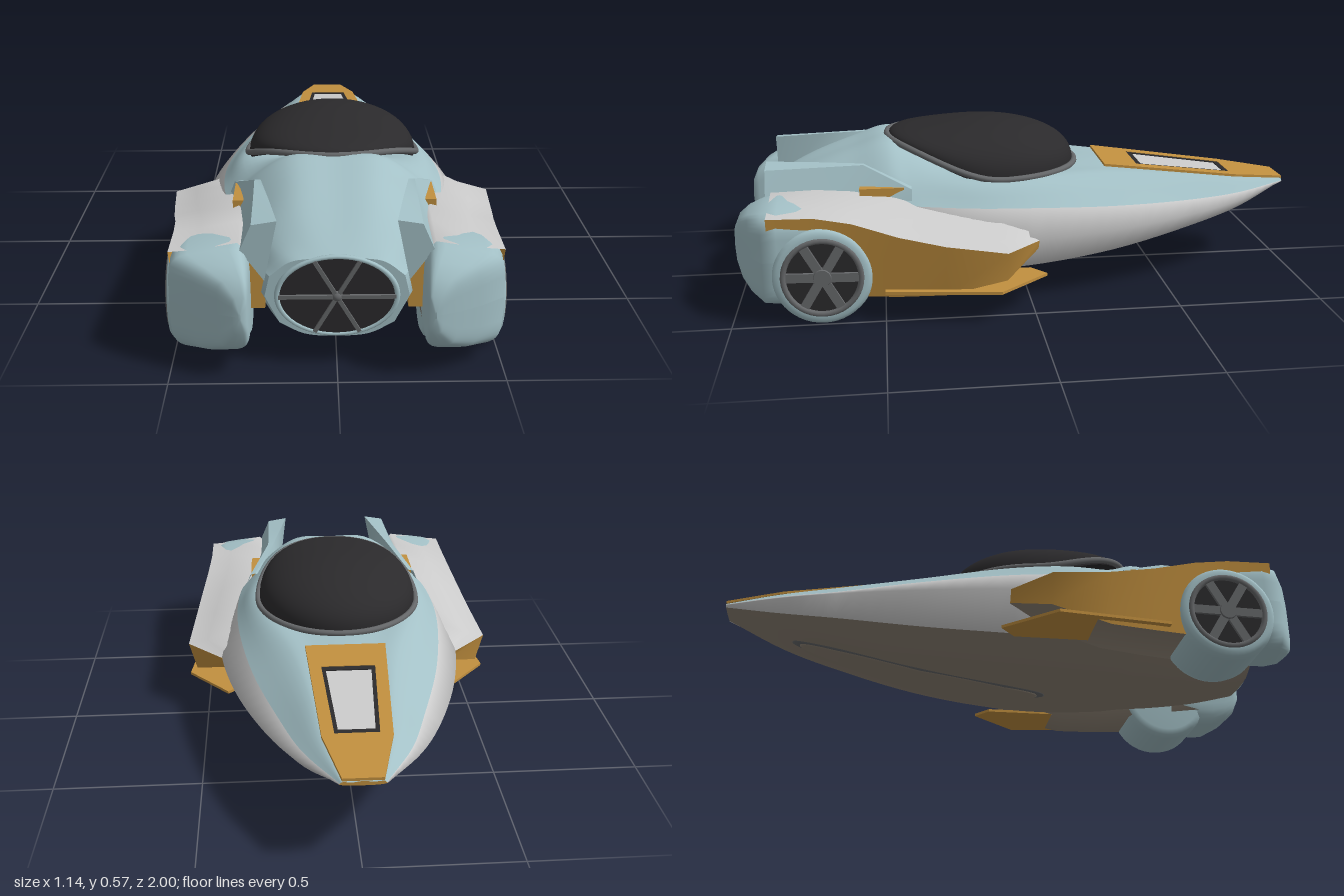
import * as THREE from 'three';

const V = (x, y, z) => new THREE.Vector3(x, y, z);
const paint = (color) => new THREE.MeshStandardMaterial({ color, side: THREE.DoubleSide });
const lerp = THREE.MathUtils.lerp;

// Spline-smooth a grid of points: n steps along the rows, m steps across each row
function refine(rows, n, m) {
  const cols = rows[0].map((_, j) => new THREE.CatmullRomCurve3(rows.map((r) => r[j])).getPoints(n));
  return cols[0].map((_, i) => {
    const row = cols.map((c) => c[i]);
    return m ? new THREE.CatmullRomCurve3(row).getPoints(m) : row;
  });
}

// Skin over rows of points (rows run along +z, points run counter-clockwise seen from +z)
function skin(rows) {
  const w = rows[0].length, idx = [];
  for (let i = 0; i < rows.length - 1; i++)
    for (let j = 0; j < w - 1; j++) {
      const a = i * w + j, b = a + w;
      idx.push(a, a + 1, b, a + 1, b + 1, b);
    }
  const g = new THREE.BufferGeometry().setFromPoints(rows.flat());
  g.setIndex(idx);
  g.computeVertexNormals();
  return g;
}
const flip = (rows) => rows.map((r) => r.map((p) => V(-p.x, p.y, p.z)).reverse());
const deckY = (z) => 0.31 + 0.105 * (z + 1) / 0.8;
const rimY = (z) => 0.41 + 0.11 * THREE.MathUtils.smoothstep(z, 0.08, 0.5);

// Hull stations: z, half width, bottom y, chine y, edge x, edge y, shoulder x, shoulder y, top y
const HULL = [
  [-1, 0.07, 0.295, 0.3, 0.068, 0.303, 0.062, 0.308, 0.31],
  [-0.8, 0.2, 0.215, 0.275, 0.17, 0.295, 0.11, 0.334, 0.336],
  [-0.6, 0.29, 0.16, 0.26, 0.235, 0.295, 0.135, 0.36, 0.363],
  [-0.3, 0.385, 0.09, 0.245, 0.32, 0.31, 0.19, 0.39, 0.4],
  [0, 0.44, 0.05, 0.24, 0.37, 0.33, 0.28, 0.405, 0.41],
  [0.2, 0.44, 0.04, 0.24, 0.38, 0.34, 0.31, 0.41, 0.42],
  [0.4, 0.4, 0.045, 0.23, 0.36, 0.35, 0.28, 0.42, 0.495],
  [0.48, 0.36, 0.05, 0.23, 0.33, 0.35, 0.26, 0.44, 0.52],
  [0.6, 0.32, 0.055, 0.23, 0.3, 0.34, 0.24, 0.41, 0.485],
  [0.75, 0.27, 0.07, 0.23, 0.26, 0.3, 0.22, 0.37, 0.43],
  [0.9, 0.215, 0.1, 0.235, 0.2, 0.3, 0.14, 0.345, 0.36],
];

export function createModel() {
  const root = new THREE.Group();
  const blue = paint(0xa3c0c6), gold = paint(0xc2903f), grey = paint(0xcccccc);
  const brown = paint(0x8d8274), dark = paint(0x2b2a2c), steel = paint(0x66686a);
  const add = (name, geo, mat, parent = root) => {
    const m = new THREE.Mesh(geo, mat);
    m.name = name;
    parent.add(m);
    return m;
  };
  const pair = (name, rows, mat) => {
    add(name + 'Left', skin(rows), mat);
    add(name + 'Right', skin(flip(rows)), mat);
  };

  // Hull: belly, flanks and deck meet at crisp edges
  const mirrorRow = (half) => [...half, ...half.slice(0, -1).reverse().map((p) => V(-p.x, p.y, p.z))];
  const low = ([z, w, yb, yc]) => V(0.8 * w, lerp(yb, yc, 0.35), z);
  const belly = HULL.map((s) => mirrorRow([low(s), V(0.45 * s[1], lerp(s[2], s[3], 0.06), s[0]), V(0, s[2], s[0])]).reverse());
  const flank = HULL.map((s) => [low(s), V(s[1], s[3], s[0]), V(s[4], s[5], s[0])]);
  const deck = HULL.map((s) => mirrorRow([V(s[4], s[5], s[0]), V(s[6], s[7], s[0]), V(0.55 * s[6], s[8] - 0.004, s[0]), V(0, s[8], s[0])]));
  const bellyRows = refine(belly, 50, 20), flankRows = refine(flank, 50, 0), deckRows = refine(deck, 50, 30);
  add('belly', skin(bellyRows), brown);
  pair('flankFront', flankRows.slice(0, 36), grey);
  pair('flankRear', flankRows.slice(35), blue);
  add('deck', skin(deckRows), blue);
  const ends = [bellyRows, flankRows, deckRows, flip(flankRows)];
  for (const [k, z, y] of [[50, 0.9, 0.235], [0, -1, 0.303]]) {
    const ring = ends.flatMap((r) => r[k]), hub = ring.map(() => V(0, y, z));
    add(k ? 'tailCap' : 'noseCap', skin(k ? [ring, hub] : [hub, ring]), k ? blue : gold);
  }

  // Keel slot under the belly
  const keel = (k, drop) => skin(Array.from({ length: 31 }, (_, i) => {
    const u = -Math.cos(Math.PI * i / 30), z = -0.3 + 0.46 * k * u;
    const s = HULL.findIndex((h) => h[0] > z), a = HULL[s - 1], b = HULL[s];
    const y = lerp(a[2], b[2], (z - a[0]) / (b[0] - a[0])) - drop, x = 0.075 * k * Math.sqrt(Math.max(0, 1 - u * u));
    return [V(-x, y + 0.01, z), V(-x * 0.9, y, z), V(x * 0.9, y, z), V(x, y + 0.01, z)];
  }));
  add('keelRim', keel(1, 0.006), steel);
  add('keelPlate', keel(0.94, 0.011), brown);

  // Nose panel with a framed vent, laid on the sloping deck
  const poly = (pts) => pts.map(([x, z]) => new THREE.Vector2(x, -z));
  const plate = (pts, hole, h) => {
    const s = new THREE.Shape(poly(pts));
    if (hole) s.holes.push(new THREE.Path(poly(hole)));
    const g = new THREE.ExtrudeGeometry(s, { depth: h, bevelEnabled: false }).rotateX(-Math.PI / 2);
    const p = g.attributes.position;
    for (let i = 0; i < p.count; i++) p.setY(i, p.getY(i) + deckY(p.getZ(i)) + 0.001);
    g.computeVertexNormals();
    return g;
  };
  const trap = (a, za, b, zb) => [[-a, za], [a, za], [b, zb], [-b, zb]];
  const vent = trap(0.07, -0.79, 0.09, -0.43);
  add('nosePanel', plate([[-0.062, -1], [0.062, -1], [0.11, -0.8], [0.138, -0.3], [-0.138, -0.3], [-0.11, -0.8]], vent, 0.009), gold);
  add('ventFrame', plate(vent, trap(0.058, -0.77, 0.076, -0.45), 0.007), dark);
  add('ventPanel', plate(trap(0.06, -0.775, 0.078, -0.445), null, 0.004), grey);

  // Canopy dome with a rim rising to the rear
  const dome = new THREE.SphereGeometry(1, 48, 24, 0, Math.PI * 2, 0, Math.PI * 0.53);
  const dp = dome.attributes.position;
  for (let i = 0; i < dp.count; i++) {
    const z = 0.135 + 0.335 * dp.getZ(i), Y = dp.getY(i), r = rimY(z);
    dp.setXYZ(i, 0.292 * dp.getX(i), r + (0.572 - r) * Math.sign(Y) * Math.abs(Y) ** 0.85, z);
  }
  dome.computeVertexNormals();
  add('canopy', dome, dark);
  const rim = Array.from({ length: 40 }, (_, i) => {
    const a = i * Math.PI / 20, z = 0.135 + 0.342 * Math.cos(a);
    return V(0.298 * Math.sin(a), rimY(z), z);
  });
  add('canopyRim', new THREE.TubeGeometry(new THREE.CatmullRomCurve3(rim, true), 80, 0.011, 8, true), steel);

  // Rear exhaust grille
  const exhaust = new THREE.Group();
  exhaust.name = 'exhaust';
  exhaust.position.set(0, 0.235, 0.9);
  root.add(exhaust);
  add('exhaustDisc', new THREE.CylinderGeometry(1, 1, 0.008, 40).rotateX(Math.PI / 2).scale(0.178, 0.127, 1), dark, exhaust);
  add('exhaustRing', new THREE.TorusGeometry(0.178, 0.009, 8, 48).scale(1, 0.715, 1), blue, exhaust);
  for (let i = 0; i < 6; i++) {
    const a = i * Math.PI / 3, len = 1 / Math.hypot(Math.cos(a) / 0.175, Math.sin(a) / 0.125);
    add('exhaustSpoke', new THREE.BoxGeometry(len, 0.012, 0.012).translate(len / 2, 0, 0.006).rotateZ(a), steel, exhaust);
  }
  add('exhaustHub', new THREE.SphereGeometry(0.018, 16, 10), steel, exhaust);

  // Side pods: z, inner x, outer x, bottom y, outer top y, inner top y
  const pod = [
    [-0.02, 0.36, 0.44, 0.2, 0.238, 0.27], [0.1, 0.36, 0.567, 0.14, 0.243, 0.3], [0.3, 0.33, 0.548, 0.09, 0.268, 0.34],
    [0.45, 0.3, 0.53, 0.085, 0.3, 0.372], [0.6, 0.27, 0.507, 0.085, 0.345, 0.392], [0.72, 0.265, 0.497, 0.1, 0.365, 0.4], [0.87, 0.262, 0.497, 0.12, 0.367, 0.395],
  ];
  pair('podTop', pod.map(([z, xi, xo, , yo, yi]) => [V(xo, yo, z), V(lerp(xo, xi, 0.35), lerp(yo, yi, 0.25), z), V(xi + 0.03, yi, z), V(xi, yi - 0.03, z)]), grey);
  pair('podSide', pod.map(([z, , xo, yb, yo]) => [V(xo - 0.027, yb, z), V(xo, yo, z)]), gold);
  pair('podUnderside', pod.map(([z, xi, xo, yb, , yi]) => [V(xi, yi - 0.03, z), V(xi, yb, z), V(xo - 0.027, yb, z)]), brown);

  // Rounded cowls behind the wheels: z, inner x, outer x, bottom y, top y
  const cowl = [
    [0.58, 0.265, 0.49, 0.14, 0.34], [0.72, 0.26, 0.497, 0.1, 0.376], [0.84, 0.258, 0.502, 0.06, 0.386], [0.89, 0.256, 0.498, 0.062, 0.378],
    [0.94, 0.256, 0.42, 0.08, 0.355], [0.975, 0.258, 0.35, 0.11, 0.325], [0.995, 0.262, 0.305, 0.16, 0.28], [1, 0.28, 0.285, 0.21, 0.23],
  ].map(([z, xi, xo, yb, yt]) => Array.from({ length: 33 }, (_, i) => {
    const a = i * Math.PI / 16, pw = (t) => Math.sign(t) * Math.abs(t) ** 0.42;
    const dx = pw(Math.cos(a)) * (xo - xi) / 2, s = pw(Math.sin(a));
    return V((xi + xo) / 2 + dx, (yb + yt) / 2 + s * (yt - yb) / 2 - Math.max(0, s) * dx * 0.13, z);
  }));
  pair('wheelCowl', cowl, blue);

  // Rear deck fins: inner base, inner top, outer top, outer base
  const fin = [
    [0.4, [0.3, 0.4], [0.31, 0.405], [0.33, 0.4], [0.35, 0.35]],
    [0.56, [0.22, 0.4], [0.235, 0.47], [0.255, 0.47], [0.31, 0.37]],
    [0.72, [0.2, 0.36], [0.205, 0.472], [0.252, 0.465], [0.3, 0.35]],
    [0.89, [0.215, 0.28], [0.175, 0.472], [0.25, 0.46], [0.285, 0.38]],
  ].map(([z, ...p]) => p.map(([x, y]) => V(x, y, z)).reverse());
  for (let j = 0; j < 3; j++) pair('finFace', fin.map((r) => r.slice(j, j + 2)), blue);
  const finEnd = fin[3];
  pair('finEnd', [[finEnd[0], finEnd[3]], [finEnd[1], finEnd[2]]], blue);

  for (const s of [1, -1]) {
    // Gold inlay, strut and forward blade beside the hull
    add('podInlay', new THREE.BoxGeometry(0.05, 0.08, 0.15).translate(s * 0.3, 0.365, 0.5), gold);
    add('podStrut', new THREE.BoxGeometry(0.06, 0.15, 0.2).translate(s * 0.245, 0.255, 0.77), gold);
    const blade = new THREE.Shape([[0.36, 0.5], [0.52, 0.5], [0.545, 0.3], [0.568, 0.12], [0.42, -0.05], [0.36, 0]].map(([x, z]) => new THREE.Vector2(s * x, z)));
    add('sideBlade', new THREE.ExtrudeGeometry(blade, { depth: 0.01, bevelEnabled: false }).rotateX(Math.PI / 2).translate(0, 0.112, 0), gold);

    // Wide wheel with recessed spoked rim
    const wheel = new THREE.Group();
    wheel.name = s > 0 ? 'wheelLeft' : 'wheelRight';
    wheel.position.set(s * 0.39, 0.167, 0.7);
    wheel.rotation.z = -s * Math.PI / 2;
    root.add(wheel);
    const tyre = [[0.001, -0.125], [0.14, -0.125], [0.16, -0.115], [0.167, -0.09], [0.167, 0.09], [0.16, 0.113], [0.148, 0.122], [0.132, 0.122]];
    add('tyre', new THREE.LatheGeometry(tyre.map(([r, y]) => new THREE.Vector2(r, y)), 48), blue, wheel);
    add('rimRing', new THREE.TorusGeometry(0.126, 0.01, 8, 40).rotateX(Math.PI / 2).translate(0, 0.119, 0), steel, wheel);
    add('rimDisc', new THREE.CylinderGeometry(0.132, 0.132, 0.01, 40).translate(0, 0.107, 0), dark, wheel);
    for (let i = 0; i < 6; i++)
      add('wheelSpoke', new THREE.BoxGeometry(0.115, 0.012, 0.03).translate(0.06, 0.116, 0).rotateY(i * Math.PI / 3 + 0.5), steel, wheel);
    add('wheelHub', new THREE.CylinderGeometry(0.028, 0.034, 0.02, 20).translate(0, 0.118, 0), steel, wheel);
  }
  return root;
}
